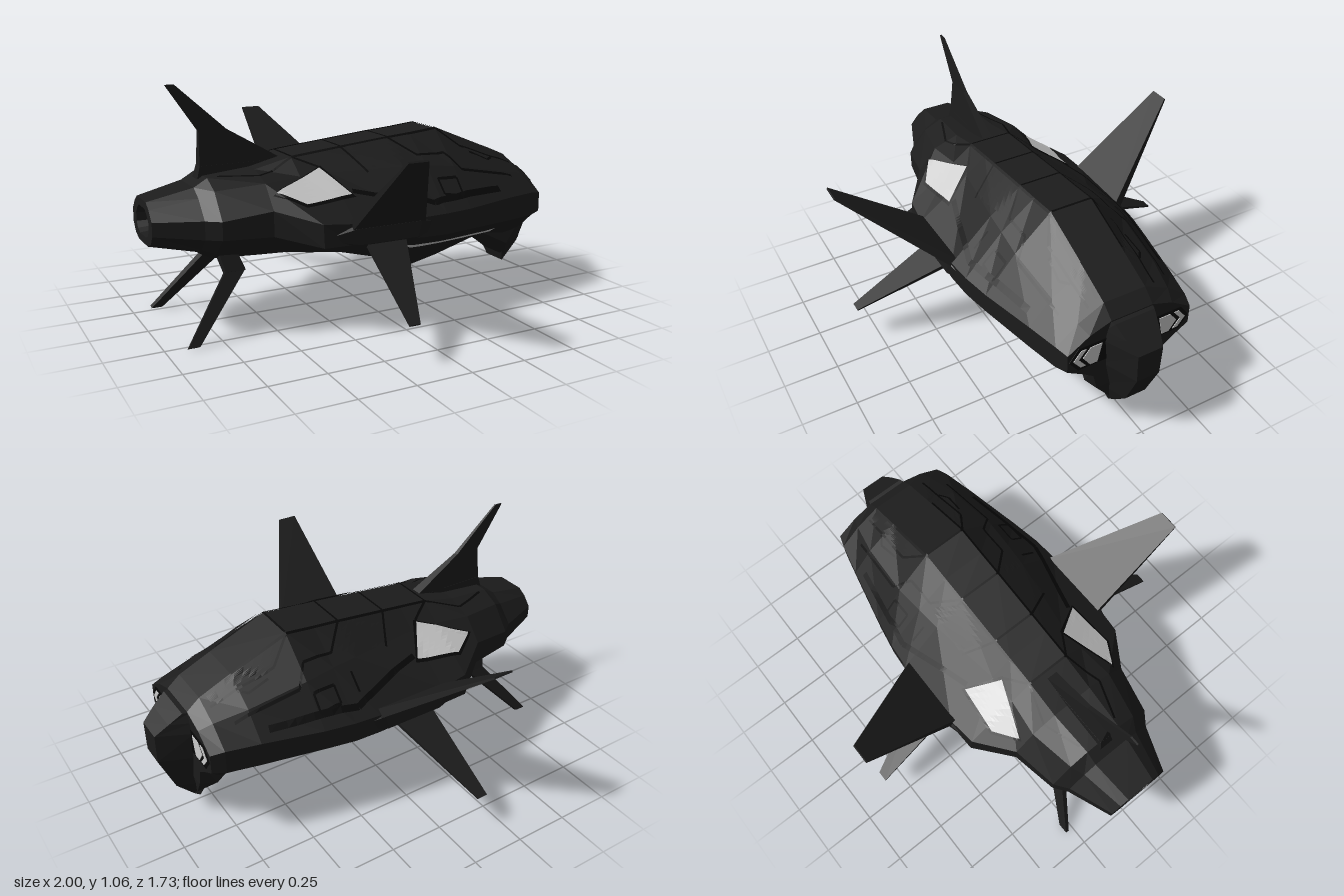
import * as THREE from 'three';
import { ConvexGeometry } from 'three/addons/geometries/ConvexGeometry.js';

const V = (x, y, z) => new THREE.Vector3(x, y, z);
const paint = (color, side = THREE.FrontSide) =>
  new THREE.MeshStandardMaterial({ color, side, flatShading: true });
const dark = paint(0x1c1c1c);
const groove = paint(0x070707, THREE.DoubleSide);
const plate = paint(0x1c1c1c, THREE.DoubleSide);
const light = paint(0xcccccc, THREE.DoubleSide);

// Skin a list of equal rings and close both ends
function loft(rings) {
  const n = rings[0].length, tris = [];
  for (let i = 0; i < rings.length - 1; i++)
    for (let j = 0; j < n; j++) {
      const k = (j + 1) % n, a = rings[i][j], b = rings[i][k], c = rings[i + 1][k], d = rings[i + 1][j];
      tris.push(a, b, c, a, c, d);
    }
  const first = rings[0], last = rings[rings.length - 1];
  for (let j = 1; j < n - 1; j++)
    tris.push(first[0], first[j + 1], first[j], last[0], last[j], last[j + 1]);
  const g = new THREE.BufferGeometry().setFromPoints(tris);
  g.computeVertexNormals();
  return g;
}

// Hull cross-section from half profile [z, y] points, top to bottom
const ring = (x, half) => [
  ...half.map(([z, y]) => V(x, y, z)),
  ...[...half].reverse().map(([z, y]) => V(x, y, -z)),
];

const tail = [[0.07, 0.59], [0.11, 0.565], [0.15, 0.52], [0.15, 0.46], [0.12, 0.42], [0.07, 0.4]];
const shrink = (s) => tail.map(([z, y]) => [z * s, 0.495 + (y - 0.495) * s]);
const stations = [
  [-0.93, shrink(0.55)],
  [-1, shrink(0.65)],
  [-1, tail],
  [-0.8, [[0.09, 0.635], [0.15, 0.6], [0.225, 0.52], [0.225, 0.44], [0.16, 0.38], [0.09, 0.355]]],
  [-0.74, [[0.09, 0.67], [0.18, 0.63], [0.27, 0.52], [0.27, 0.44], [0.18, 0.36], [0.1, 0.32]]],
  [-0.53, [[0.1, 0.69], [0.22, 0.65], [0.31, 0.55], [0.31, 0.44], [0.2, 0.35], [0.11, 0.31]]],
  [-0.36, [[0.1, 0.73], [0.2, 0.66], [0.43, 0.5], [0.44, 0.4], [0.27, 0.34], [0.12, 0.305]]],
  [-0.22, [[0.1, 0.745], [0.2, 0.665], [0.445, 0.49], [0.445, 0.4], [0.3, 0.33], [0.12, 0.3]]],
  [0.12, [[0.1, 0.78], [0.25, 0.67], [0.45, 0.48], [0.45, 0.39], [0.35, 0.32], [0.13, 0.205]]],
  [0.24, [[0.1, 0.79], [0.26, 0.665], [0.44, 0.48], [0.44, 0.385], [0.34, 0.32], [0.13, 0.16]]],
  [0.38, [[0.1, 0.805], [0.27, 0.65], [0.415, 0.48], [0.415, 0.385], [0.33, 0.325], [0.13, 0.19]]],
  [0.65, [[0.1, 0.695], [0.25, 0.6], [0.355, 0.49], [0.355, 0.38], [0.27, 0.31], [0.12, 0.26]]],
  [0.8, [[0.1, 0.63], [0.22, 0.57], [0.32, 0.49], [0.32, 0.38], [0.24, 0.31], [0.11, 0.235]]],
  [0.86, [[0.1, 0.58], [0.2, 0.545], [0.3, 0.48], [0.3, 0.39], [0.22, 0.34], [0.1, 0.25]]],
];

// Tapered fin between a root and a tip edge; each is [xBack, xFront, y, z, thickness]
function blade(root, tip, s = 1) {
  const span = V(0, tip[2] - root[2], tip[3] - root[3]).normalize();
  const pts = [];
  for (const [xb, xf, y, z, t] of [root, tip])
    for (const x of [xb, xf])
      for (const e of [-t / 2, t / 2])
        pts.push(V(x, y + span.z * e, (z - span.y * e) * s));
  return new ConvexGeometry(pts);
}

export function createModel() {
  const model = new THREE.Group();
  const add = (name, geometry, material = dark) => {
    const m = new THREE.Mesh(geometry, material);
    m.name = name;
    model.add(m);
    return m;
  };

  const hull = add('hull', loft(stations.map(([x, half]) => ring(x, half))));
  hull.updateMatrixWorld();

  // Patch laid on the hull: four [x, z] corners dropped onto its upper or lower skin
  const ray = new THREE.Raycaster();
  function patch(name, [a, b, c, d], material, lift = 0.005, up = 1, nu = 8, nv = 8) {
    const g = new THREE.PlaneGeometry(1, 1, nu, nv), p = g.attributes.position;
    for (let i = 0; i < p.count; i++) {
      const u = p.getX(i) + 0.5, v = p.getY(i) + 0.5;
      const at = (k) => (a[k] * (1 - u) + b[k] * u) * (1 - v) + (d[k] * (1 - u) + c[k] * u) * v;
      ray.set(V(at(0), up * 3, at(1)), V(0, -up, 0));
      const hit = ray.intersectObject(hull)[0];
      p.setXYZ(i, at(0), (hit ? hit.point.y : 0.48) + up * lift, at(1));
    }
    g.computeVertexNormals();
    add(name, g, material);
  }

  // Panel seam following a polyline of [x, z] points
  function seam(points, width = 0.01) {
    for (let i = 0; i < points.length - 1; i++) {
      const [x0, z0] = points[i], [x1, z1] = points[i + 1];
      const l = Math.hypot(x1 - x0, z1 - z0), dx = (z1 - z0) / l * width / 2, dz = -(x1 - x0) / l * width / 2;
      patch('panelSeam', [[x0 - dx, z0 - dz], [x1 - dx, z1 - dz], [x1 + dx, z1 + dz], [x0 + dx, z0 + dz]],
        groove, 0.004, 1, 10, 1);
    }
  }

  const seams = [
    [[-0.36, 0.105], [0.12, 0.105], [0.38, 0.105], [0.62, 0.105]],
    [[-0.36, 0], [-0.36, 0.105], [-0.26, 0.17]],
    [[-0.12, 0], [-0.12, 0.105], [-0.05, 0.24]],
    [[0.12, 0], [0.12, 0.105], [0.22, 0.21], [0.36, 0.21], [0.42, 0.28], [0.72, 0.26]],
    [[0.38, 0], [0.38, 0.105], [0.48, 0.17], [0.78, 0.16]],
    [[0.52, 0.19], [0.62, 0.2], [0.66, 0.17]],
    [[0.27, 0.31], [0.37, 0.31], [0.37, 0.37], [0.27, 0.37], [0.27, 0.31]],
    [[0.17, 0.29], [0.17, 0.36]],
    [[-0.7, 0.1], [-0.53, 0.16], [-0.36, 0.105]],
  ];
  for (const s of [1, -1]) {
    const side = (pts) => pts.map(([x, z]) => [x, z * s]);
    seams.forEach((line) => seam(side(line)));
    seam(side([[-0.16, 0.3], [-0.02, 0.34], [0.2, 0.4], [0.6, 0.33]]), 0.022);

    // Side window with its dark surround
    patch('windowFrame', side([[-0.515, 0.27], [-0.25, 0.165], [-0.155, 0.328], [-0.395, 0.35]]), groove, 0.003);
    patch('sideWindow', side([[-0.5, 0.27], [-0.26, 0.178], [-0.17, 0.318], [-0.39, 0.34]]), light, 0.008);

    // Raised armour plates on the upper deck
    patch('deckPlate', side([[0.4, 0.115], [0.78, 0.11], [0.77, 0.15], [0.49, 0.16]]), plate, 0.012);
    patch('deckPlate', side([[-0.1, 0.115], [0.1, 0.115], [0.2, 0.22], [-0.03, 0.24]]), plate, 0.01);

    // Pale strip below the side edge
    patch('lowerLightStrip', side([[0.04, 0.395], [0.58, 0.335], [0.56, 0.315], [0.1, 0.36]]), light, 0.006, -1);

    // Wing-root blister
    add('wingRootFairing', new ConvexGeometry([
      [-0.37, 0.43, 0.42], [0.27, 0.44, 0.42], [-0.23, 0.51, 0.41], [0.1, 0.51, 0.41], [-0.22, 0.47, 0.46],
      [0.1, 0.47, 0.46], [-0.2, 0.4, 0.46], [0.08, 0.4, 0.46], [-0.2, 0.37, 0.43], [0.06, 0.37, 0.43],
    ].map(([x, y, z]) => V(x, y, z * s))));

    // Fins: large upper wing, smaller lower wing, rear leg fin with its stub
    add('upperWing', blade([-0.235, 0.125, 0.475, 0.43, 0.045], [-0.22, -0.128, 0.823, 0.862, 0.008], s));
    add('lowerWing', blade([-0.165, 0.03, 0.4, 0.43, 0.02], [-0.185, -0.135, 0.165, 0.832, 0.006], s));
    add('rearFinStub', blade([-0.72, -0.64, 0.35, 0.12, 0.05], [-0.7, -0.61, 0.265, 0.16, 0.035], s));
    add('rearLowerFin', blade([-0.7, -0.61, 0.27, 0.158, 0.03], [-0.91, -0.86, 0.005, 0.282, 0.02], s));

    // Front intake: dark recess, pale panel and chevron
    const facing = (name, pts, x, material) => {
      const shape = new THREE.Shape(pts.map(([z, y]) => new THREE.Vector2(-z * s, y)));
      const g = new THREE.ExtrudeGeometry(shape, { depth: 0.008, bevelEnabled: false });
      add(name, g.rotateY(Math.PI / 2).translate(x, 0, 0), material);
    };
    facing('intakeRecess', [[0.11, 0.5], [0.25, 0.5], [0.293, 0.44], [0.25, 0.38], [0.11, 0.38]], 0.855, groove);
    facing('intakePanel', [[0.14, 0.485], [0.195, 0.485], [0.23, 0.44], [0.195, 0.39], [0.16, 0.39]], 0.858, light);
    facing('intakeChevron', [[0.215, 0.485], [0.24, 0.485], [0.275, 0.44], [0.24, 0.395], [0.215, 0.395], [0.25, 0.44]],
      0.858, light);
  }

  // Two-stage tail fin on the spine
  const finMid = [-0.745, -0.62, 0.86, 0, 0.02];
  add('tailFinBase', blade([-0.75, -0.35, 0.7, 0, 0.055], finMid));
  add('tailFinRoot', blade([-0.78, -0.35, 0.6, 0, 0.08], [-0.75, -0.36, 0.71, 0, 0.055]));
  add('tailFinTip', blade(finMid, [-0.88, -0.84, 1.06, 0, 0.008]));

  // Nose shield: sections [y, xBack, xFront, half width back, half width front]
  add('noseShield', loft([
    [0.08, 0.83, 0.85, 0.065, 0.04],
    [0.17, 0.8, 0.93, 0.1, 0.05],
    [0.34, 0.84, 1, 0.12, 0.055],
    [0.48, 0.85, 1, 0.13, 0.06],
    [0.53, 0.85, 0.94, 0.12, 0.08],
    [0.575, 0.85, 0.88, 0.105, 0.095],
  ].map(([y, xb, xf, wb, wf]) => [V(xb, y, wb), V(xf, y, wf), V(xf, y, -wf), V(xb, y, -wb)])));

  // Chin block under the nose
  add('chin', new ConvexGeometry([
    [0.6, 0.29, 0.12], [0.78, 0.2, 0.16], [0.86, 0.34, 0.18], [0.86, 0.22, 0.15], [0.8, 0.165, 0.12], [0.84, 0.1, 0.06],
  ].flatMap(([x, y, z]) => [V(x, y, z), V(x, y, -z)])));

  // Exhaust panel inside the tail recess
  add('exhaust', new THREE.BoxGeometry(0.02, 0.085, 0.09).translate(-0.935, 0.495, 0), light);

  return model;
}
